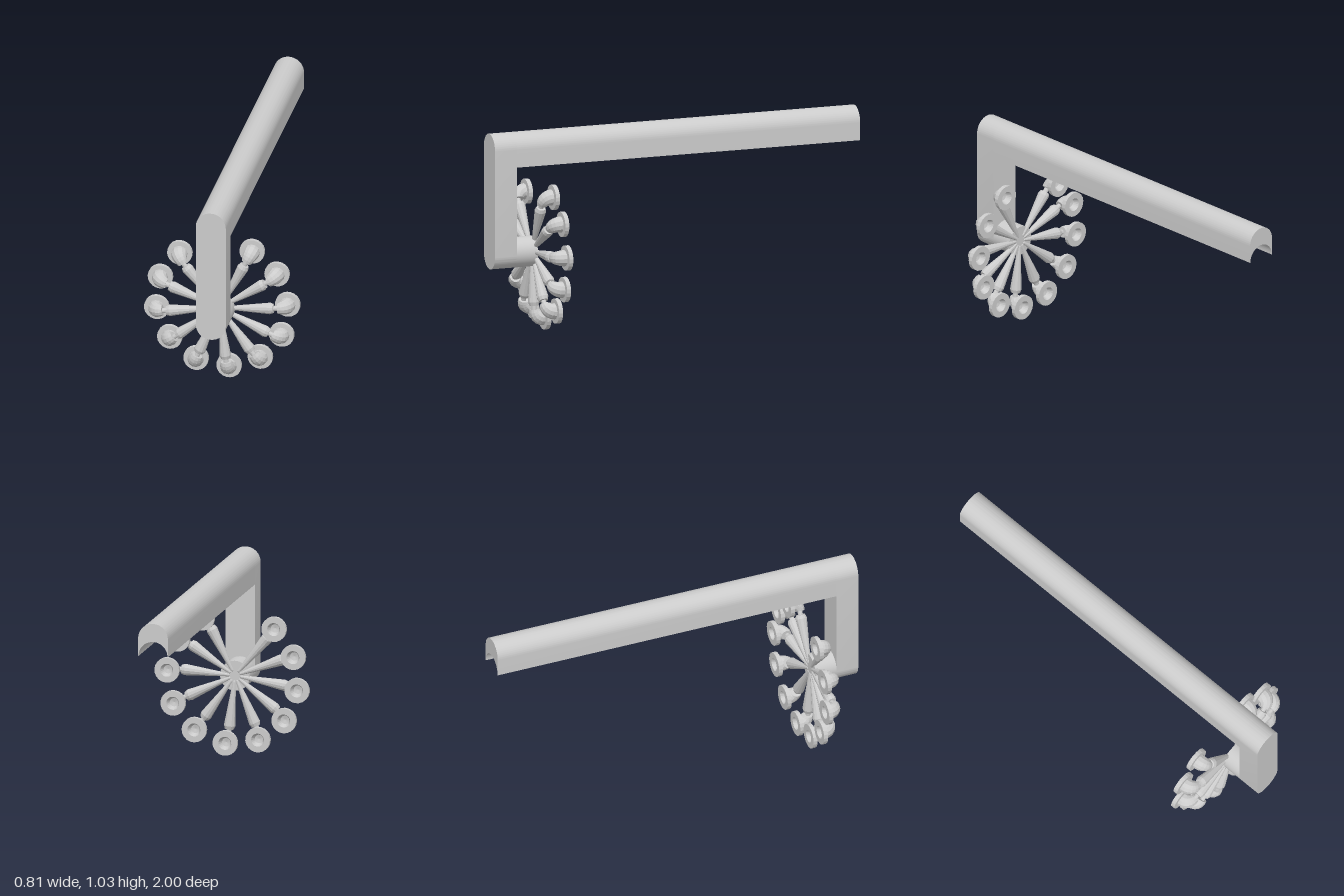
import * as THREE from 'three';
import { toCreasedNormals } from 'three/addons/utils/BufferGeometryUtils.js';

const W = 0.078;       // half width of the arm, plate and hub
const HUB_Y = 0.41;    // height of the wheel axis
const TOP_Y = 0.958;   // centre of the arm's rounded top

const smooth = new THREE.MeshStandardMaterial({ color: 0xcccccc });
const faceted = new THREE.MeshStandardMaterial({ color: 0xcccccc, flatShading: true });

function add(parent, name, geometry, material) {
  const mesh = new THREE.Mesh(geometry, material);
  mesh.name = name;
  parent.add(mesh);
  return mesh;
}

function extrude(shape, z0, z1) {
  const g = new THREE.ExtrudeGeometry(shape, { depth: z1 - z0, bevelEnabled: false, curveSegments: 24 });
  g.translate(0, 0, z0);
  return toCreasedNormals(g, 0.6);
}

const lathe = (points, sides) =>
  new THREE.LatheGeometry(points.map(([r, y]) => new THREE.Vector2(r, y)), sides);

// Flaring quarter bend: leaves the neck along +y and turns towards -z
function elbowGeometry(steps = 6, sides = 12) {
  const pos = [], index = [];
  for (let i = -1; i <= steps; i++) {
    const phi = (Math.max(i, 0) / steps) * Math.PI / 2;
    const s = Math.sin(phi), c = Math.cos(phi);
    const radius = i < 0 ? 0 : 0.028 + 0.014 * s;
    for (let j = 0; j <= sides; j++) {
      const a = (j / sides) * Math.PI * 2;
      const out = radius * Math.sin(a);
      pos.push(radius * Math.cos(a), 0.302 + (0.041 + out) * s, 0.722 + (0.043 + out) * c);
    }
  }
  const row = sides + 1;
  for (let i = 0; i <= steps; i++) {
    for (let j = 0; j < sides; j++) {
      const a = i * row + j, b = a + row;
      index.push(a, b, a + 1, b, b + 1, a + 1);
    }
  }
  const g = new THREE.BufferGeometry();
  g.setAttribute('position', new THREE.Float32BufferAttribute(pos, 3));
  g.setIndex(index);
  g.computeVertexNormals();
  return g;
}

export function createModel() {
  const model = new THREE.Group();
  model.name = 'bracketWithSpokedWheel';

  // Long arm: round on top, hollowed by a round channel below
  const arm = new THREE.Shape();
  arm.moveTo(-W, 0.866);
  arm.lineTo(-W + 0.002, 0.866);
  arm.absarc(0, 0.866, W - 0.002, Math.PI, 0, true);
  arm.lineTo(W, 0.866);
  arm.lineTo(W, TOP_Y);
  arm.absarc(0, TOP_Y, W, 0, Math.PI, false);
  arm.closePath();
  add(model, 'arm', extrude(arm, -1, 0.88), smooth);

  // Upright front plate with rounded ends
  const plate = new THREE.Shape();
  plate.absarc(0, TOP_Y, W, 0, Math.PI, false);
  plate.absarc(0, HUB_Y, W, Math.PI, Math.PI * 2, false);
  plate.closePath();
  add(model, 'frontPlate', extrude(plate, 0.88, 1), smooth);

  // Hub
  const hub = new THREE.CylinderGeometry(W, W, 0.12, 48).rotateX(Math.PI / 2);
  add(model, 'hub', hub, smooth).position.set(0, HUB_Y, 0.824);

  // Shared spoke parts, built pointing along +y
  const spoke = lathe([[0, 0.02], [0.008, 0.03], [0.03, 0.262], [0.024, 0.28],
    [0.013, 0.281], [0.013, 0.306]], 12);
  const elbow = elbowGeometry();
  const flange = lathe([[0, 0.735], [0.022, 0.73], [0.034, 0.7], [0.065, 0.7],
    [0.065, 0.722], [0.03, 0.723]], 20).rotateX(Math.PI / 2);

  // Eleven spokes, leaving a gap behind the plate
  for (let i = 0; i < 11; i++) {
    const arms = new THREE.Group();
    arms.name = 'spokeAssembly' + (i + 1);
    add(arms, 'spoke', spoke, faceted).position.z = 0.768;
    add(arms, 'elbow', elbow, faceted);
    add(arms, 'flange', flange, faceted).position.y = 0.343;
    arms.position.y = HUB_Y;
    arms.rotation.z = THREE.MathUtils.degToRad(62.7 - 29.3 * i - 90);
    model.add(arms);
  }
  return model;
}
